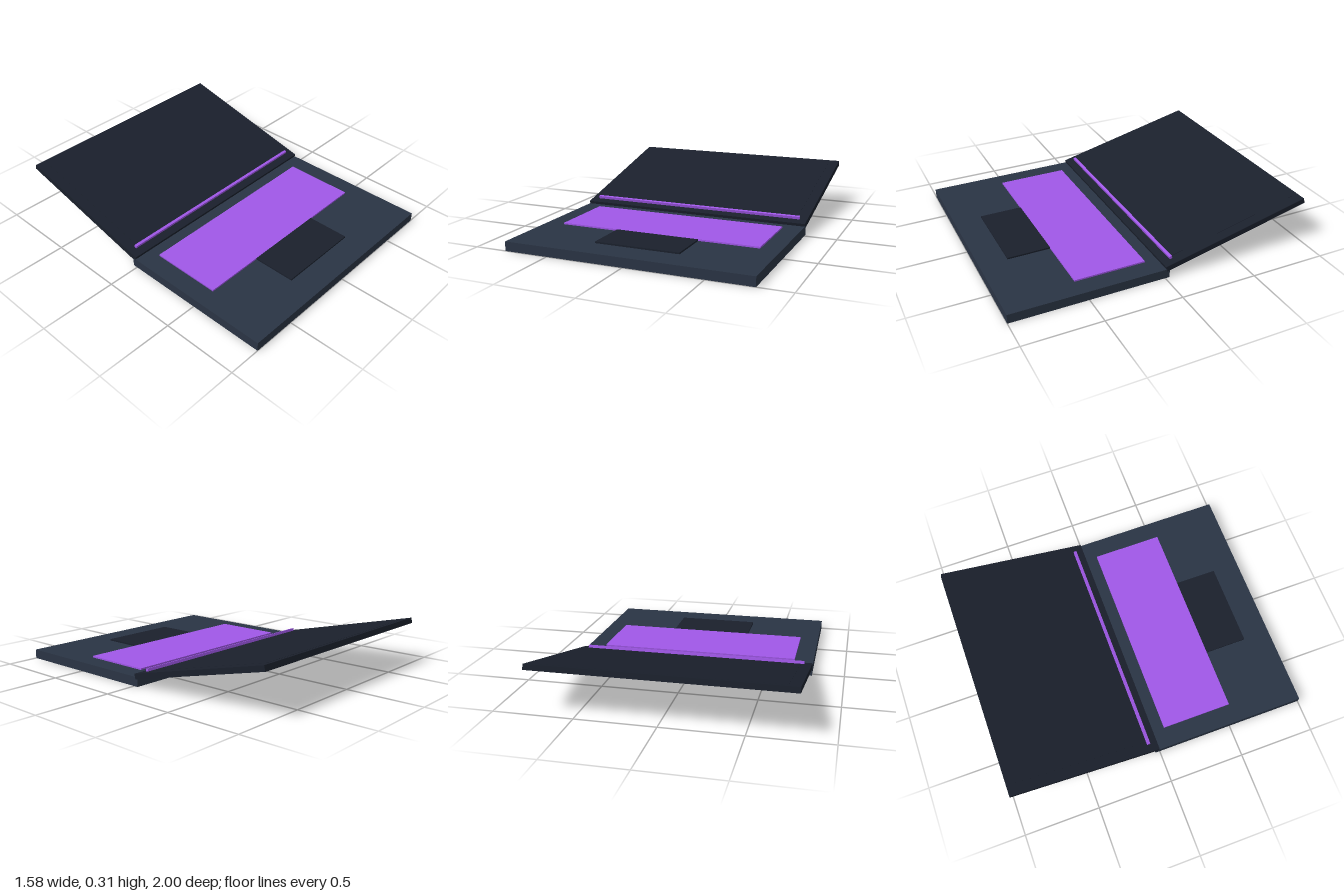
import * as THREE from 'three';

const paint = (color) => new THREE.MeshStandardMaterial({ color });

export function createModel() {
  const model = new THREE.Group();
  const shell = paint(0x2a3444), dark = paint(0x1a202c), purple = paint(0xa057e8);

  function box(parent, name, material, [w, h, d], [x, y, z]) {
    const mesh = new THREE.Mesh(new THREE.BoxGeometry(w, h, d), material);
    mesh.name = name;
    mesh.position.set(x, y, z);
    parent.add(mesh);
    return mesh;
  }

  // Lower body with keyboard and touch pad
  box(model, 'base', shell, [1.58, 0.06, 1.03], [0, 0.03, 0.485]);
  box(model, 'keyboard', purple, [1.33, 0.012, 0.465], [0, 0.064, 0.3075]);
  box(model, 'trackpad', dark, [0.55, 0.012, 0.28], [0, 0.064, 0.68]);

  // Lid, opened far back
  const lid = new THREE.Group();
  lid.name = 'lid';
  lid.position.set(0, 0.178, -0.502);
  lid.rotation.x = THREE.MathUtils.degToRad(13.3);
  model.add(lid);
  box(lid, 'lidShell', dark, [1.58, 0.035, 1.015], [0, 0, 0]);
  box(lid, 'screen', dark, [1.44, 0.004, 0.9], [0, 0.0165, -0.02]);
  box(lid, 'lightStrip', purple, [1.48, 0.018, 0.018], [0, 0.0265, 0.445]);

  return model;
}
